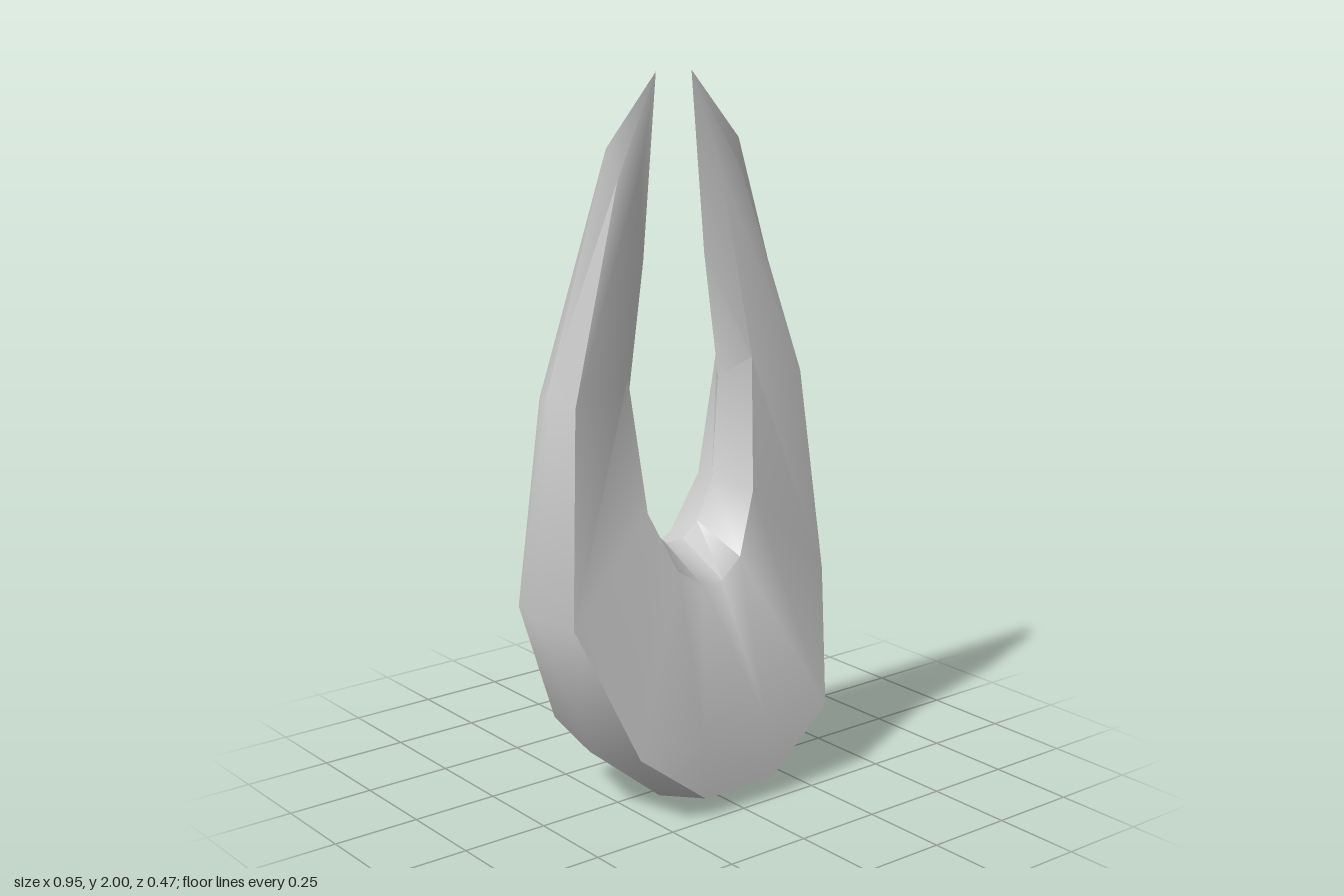
import * as THREE from 'three';
import { toCreasedNormals } from 'three/addons/utils/BufferGeometryUtils.js';

// Cross-sections of one prong, from the bottom centre up to the tip.
// Loop order: outer ridge, outer front, front fold, inner front, inner ridge, inner back, outer back
const tip = [0.06, 2, -0.06];
const sections = [
  [[0.13, 0, 0.035], [0.12, 0.055, 0.23], [0.11, 0.215, 0.215], [0.035, 0.62, 0.11],
    [0.03, 0.70, -0.06], [0.035, 0.62, -0.235], [0.12, 0.055, -0.18]],
  [[0.35, 0.18, 0.01], [0.33, 0.215, 0.215], [0.33, 0.215, 0.215], [0.11, 0.67, 0.095],
    [0.08, 0.745, -0.06], [0.11, 0.67, -0.22], [0.33, 0.215, -0.185]],
  [[0.475, 0.565, -0.065], [0.44, 0.565, 0.07], [0.44, 0.565, 0.07], [0.185, 0.84, 0.06],
    [0.135, 0.86, -0.06], [0.185, 0.84, -0.185], [0.44, 0.565, -0.19]],
  [[0.42, 1.19, -0.06], [0.39, 1.15, 0.02], [0.39, 1.15, 0.02], [0.215, 1.21, 0.015],
    [0.155, 1.15, -0.06], [0.215, 1.21, -0.14], [0.39, 1.15, -0.145]],
  [[0.225, 1.81, -0.06], [0.21, 1.73, -0.03], [0.21, 1.73, -0.03], [0.14, 1.73, -0.03],
    [0.105, 1.5, -0.06], [0.14, 1.73, -0.09], [0.21, 1.73, -0.09]],
  Array(7).fill(tip),
];

// Skin the mirrored sections into one closed, forked body
function forkGeometry() {
  const mirrored = sections.map(ring => ring.map(([x, y, z]) => [-x, y, z])).reverse();
  const rings = [...mirrored, ...sections];
  const positions = [];
  const same = (p, q) => p.every((v, i) => v === q[i]);
  const addTriangle = (p, q, r) => {
    if (same(p, q) || same(q, r) || same(r, p)) return;
    positions.push(...p, ...q, ...r);
  };
  for (let s = 0; s < rings.length - 1; s++) {
    for (let j = 0; j < 7; j++) {
      const k = (j + 1) % 7;
      const a = rings[s][j], b = rings[s][k];
      const c = rings[s + 1][k], d = rings[s + 1][j];
      // The diagonal flips between halves to keep the body symmetrical
      if (s < sections.length) {
        addTriangle(a, d, b);
        addTriangle(d, c, b);
      } else {
        addTriangle(a, d, c);
        addTriangle(a, c, b);
      }
    }
  }
  const geometry = new THREE.BufferGeometry();
  geometry.setAttribute('position', new THREE.Float32BufferAttribute(positions, 3));
  return toCreasedNormals(geometry, 0.9);
}

export function createModel() {
  const group = new THREE.Group();
  group.name = 'twoProngedClaw';
  const body = new THREE.Mesh(forkGeometry(), new THREE.MeshStandardMaterial({ color: 0xcccccc }));
  body.name = 'forkedBody';
  group.add(body);
  return group;
}
